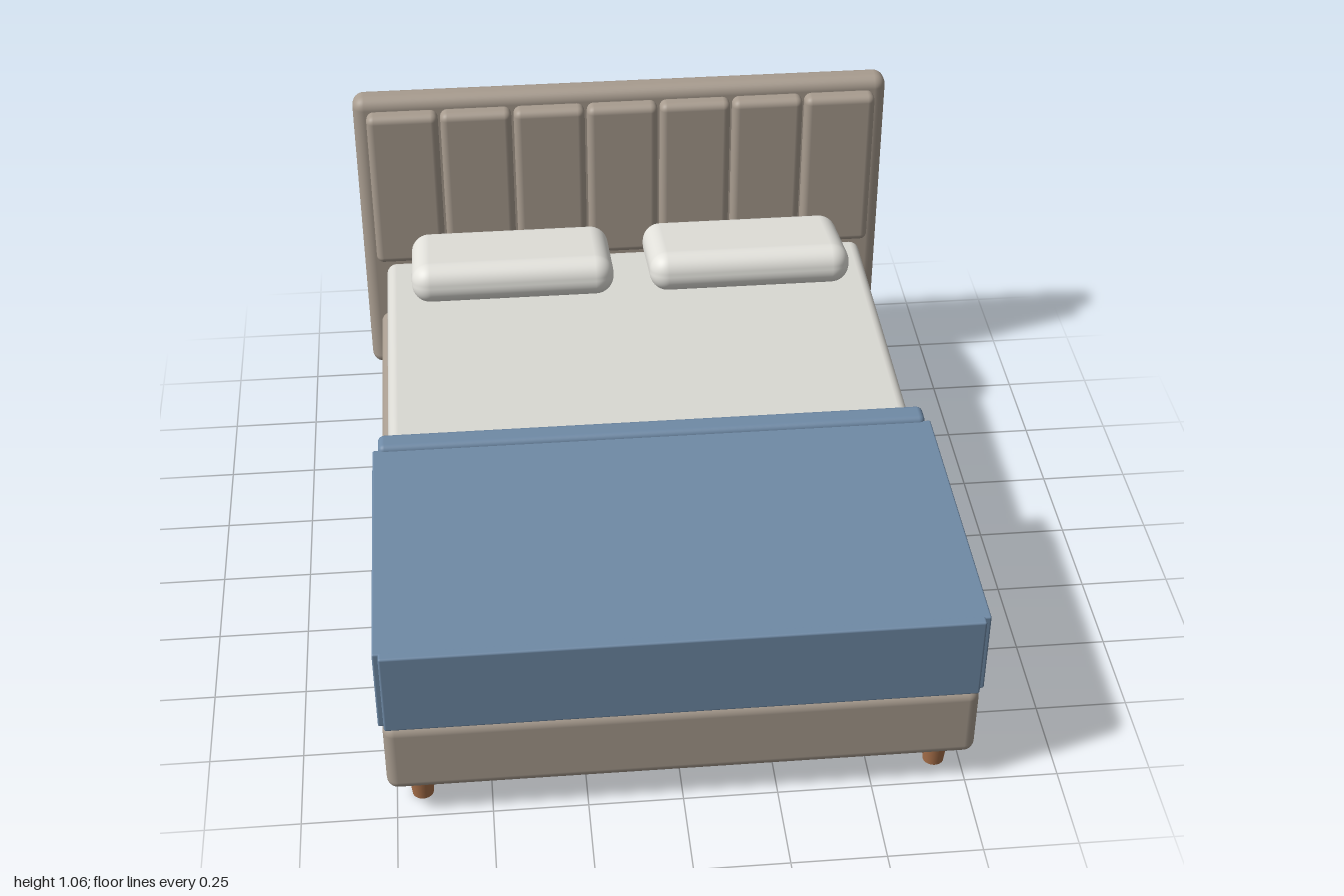
import * as THREE from 'three';
import { RoundedBoxGeometry } from 'three/addons/geometries/RoundedBoxGeometry.js';

const material = (name, color) => {
  const m = new THREE.MeshStandardMaterial({ color });
  m.name = name;
  return m;
};

export function createModel() {
  const model = new THREE.Group();
  model.name = 'bed';
  const fabric = material('taupe upholstery', 0xa89c8f);
  const linen = material('mattress white', 0xdad9d3);
  const pillowWhite = material('pillow white', 0xe4e3dd);
  const blue = material('blanket blue', 0x6f8aa6);
  const wood = material('leg wood', 0xa8704a);
  const seamGrey = material('piping grey', 0xb8b6b0);

  const add = (name, geometry, mat, x = 0, y = 0, z = 0) => {
    const mesh = new THREE.Mesh(geometry, mat);
    mesh.name = name;
    mesh.position.set(x, y, z);
    model.add(mesh);
    return mesh;
  };
  // Box given by its limits on each axis; r rounds the edges
  const block = (name, mat, [x0, x1], [y0, y1], [z0, z1], r = 0) => {
    const size = [x1 - x0, y1 - y0, z1 - z0];
    const geometry = r ? new RoundedBoxGeometry(...size, 4, r) : new THREE.BoxGeometry(...size);
    return add(name, geometry, mat, (x0 + x1) / 2, (y0 + y1) / 2, (z0 + z1) / 2);
  };

  // Upholstered frame and headboard
  block('base', fabric, [-0.77, 0.77], [0.095, 0.315], [-0.91, 1], 0.03);
  block('headboard', fabric, [-0.81, 0.81], [0.095, 1.06], [-1, -0.913], 0.035);

  // Vertical headboard channels
  const pitch = 0.221;
  for (let i = -3; i <= 3; i++) {
    const x = i * pitch;
    block('headboardChannel', fabric, [x - 0.107, x + 0.107], [0.51, 1.025], [-0.925, -0.865], 0.022);
  }

  // Mattress with piping around the middle
  block('mattress', linen, [-0.74, 0.74], [0.315, 0.52], [-0.87, 0.97], 0.03);
  block('mattressPiping', seamGrey, [-0.745, 0.745], [0.407, 0.419], [-0.875, 0.972]);

  // Tilted pillows
  for (const side of [-1, 1]) {
    const pillow = add('pillow', new RoundedBoxGeometry(0.605, 0.12, 0.348, 6, 0.055),
      pillowWhite, side * 0.357, 0.6, -0.696);
    pillow.rotation.x = -0.21;
  }

  // Blanket: top sheet, side drops, foot drop and folded edge
  block('blanketTop', blue, [-0.78, 0.78], [0.52, 0.555], [0.145, 0.98], 0.005);
  for (const side of [-1, 1]) {
    block('blanketSide', blue, [side * 0.77 - 0.01, side * 0.77 + 0.01], [0.31, 0.555], [0.145, 0.98], 0.005);
  }
  block('blanketFoot', blue, [-0.765, 0.765], [0.31, 0.555], [0.97, 1], 0.006);
  block('blanketFold', blue, [-0.765, 0.765], [0.528, 0.568], [0.085, 0.155], 0.018);

  // Tapered legs
  const legGeometry = new THREE.CylinderGeometry(0.038, 0.028, 0.1, 24);
  for (const x of [-0.682, 0.682]) {
    for (const z of [-0.815, 0.91]) add('leg', legGeometry, wood, x, 0.05, z);
  }
  return model;
}
